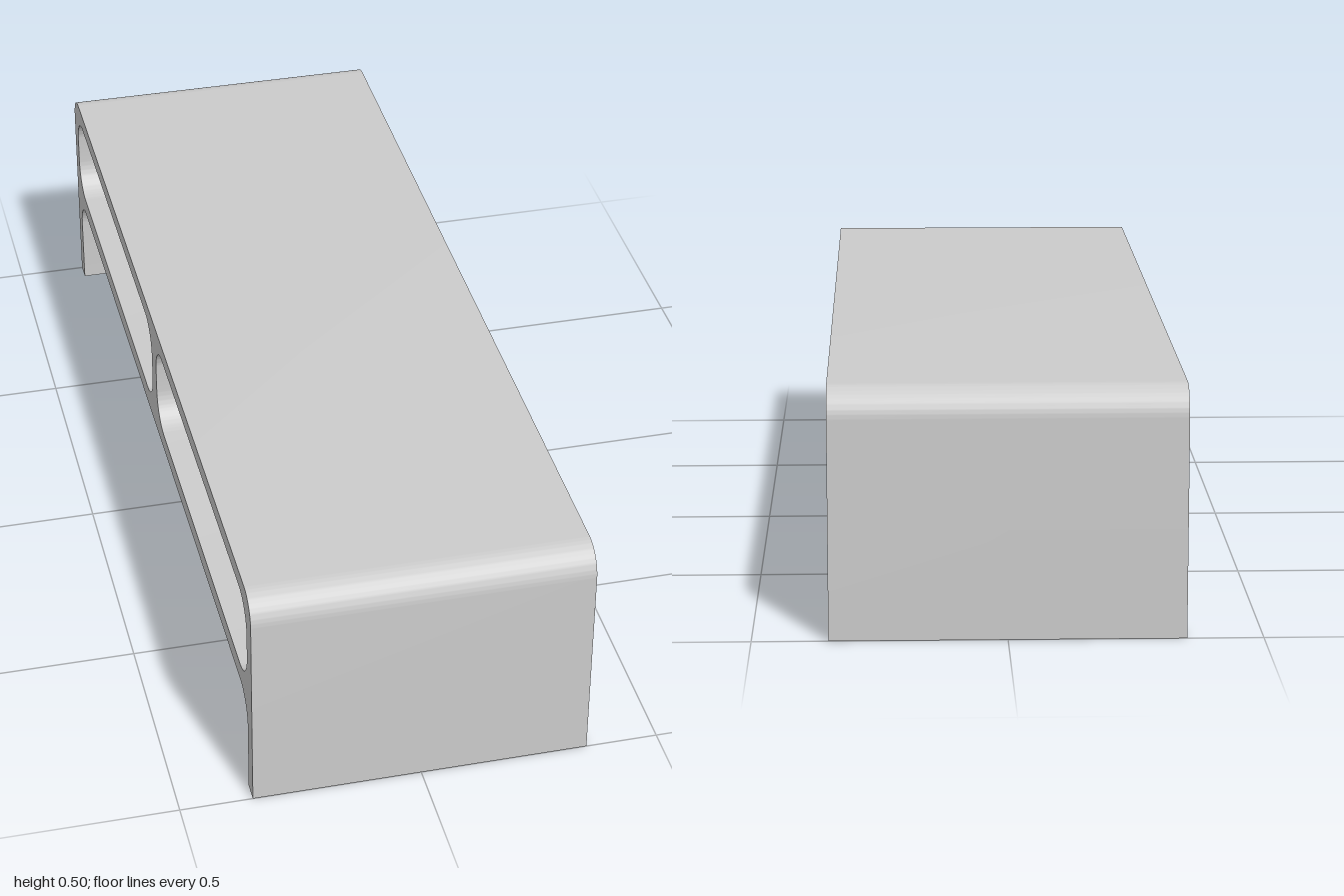
import * as THREE from 'three';
import { toCreasedNormals } from 'three/addons/utils/BufferGeometryUtils.js';

const WIDTH = 0.7;   // along x
const HEIGHT = 0.5;
const WALL = 0.04;   // side and leg thickness
const SHELF_BOTTOM = 0.225;

// Rounded rectangular opening in the (z, y) profile
function roundedOpening(z0, z1, y0, y1, r) {
  const p = new THREE.Path();
  p.moveTo(z0 + r, y0);
  p.absarc(z0 + r, y1 - r, r, Math.PI, Math.PI / 2, true);
  p.absarc(z1 - r, y1 - r, r, Math.PI / 2, 0, true);
  p.absarc(z1 - r, y0 + r, r, 0, -Math.PI / 2, true);
  p.absarc(z0 + r, y0 + r, r, -Math.PI / 2, -Math.PI, true);
  return p;
}

export function createModel() {
  const group = new THREE.Group();
  group.name = 'monitorStand';

  // Side profile: rounded outer top corners, arched space between the legs
  const outerR = 0.06, innerR = 0.07, inner = 1 - WALL;
  const profile = new THREE.Shape();
  profile.moveTo(inner, 0);
  profile.lineTo(1, 0);
  profile.absarc(1 - outerR, HEIGHT - outerR, outerR, 0, Math.PI / 2, false);
  profile.absarc(-1 + outerR, HEIGHT - outerR, outerR, Math.PI / 2, Math.PI, false);
  profile.lineTo(-1, 0);
  profile.lineTo(-inner, 0);
  profile.absarc(-inner + innerR, SHELF_BOTTOM - innerR, innerR, Math.PI, Math.PI / 2, true);
  profile.absarc(inner - innerR, SHELF_BOTTOM - innerR, innerR, Math.PI / 2, 0, true);
  profile.closePath();

  // Two storage openings either side of the divider
  for (const [z0, z1] of [[-inner, -0.02], [0.028, inner]]) {
    profile.holes.push(roundedOpening(z0, z1, 0.265, 0.463, innerR));
  }

  // Extrude across the width and turn so the profile lies in the z-y plane
  let geometry = new THREE.ExtrudeGeometry(profile, {
    depth: WIDTH, bevelEnabled: false, curveSegments: 16,
  });
  geometry.translate(0, 0, -WIDTH / 2);
  geometry.rotateY(-Math.PI / 2);
  geometry = toCreasedNormals(geometry, Math.PI / 6);

  const body = new THREE.Mesh(geometry, new THREE.MeshStandardMaterial({ color: 0xcccccc }));
  body.name = 'standBody';
  group.add(body);
  return group;
}
